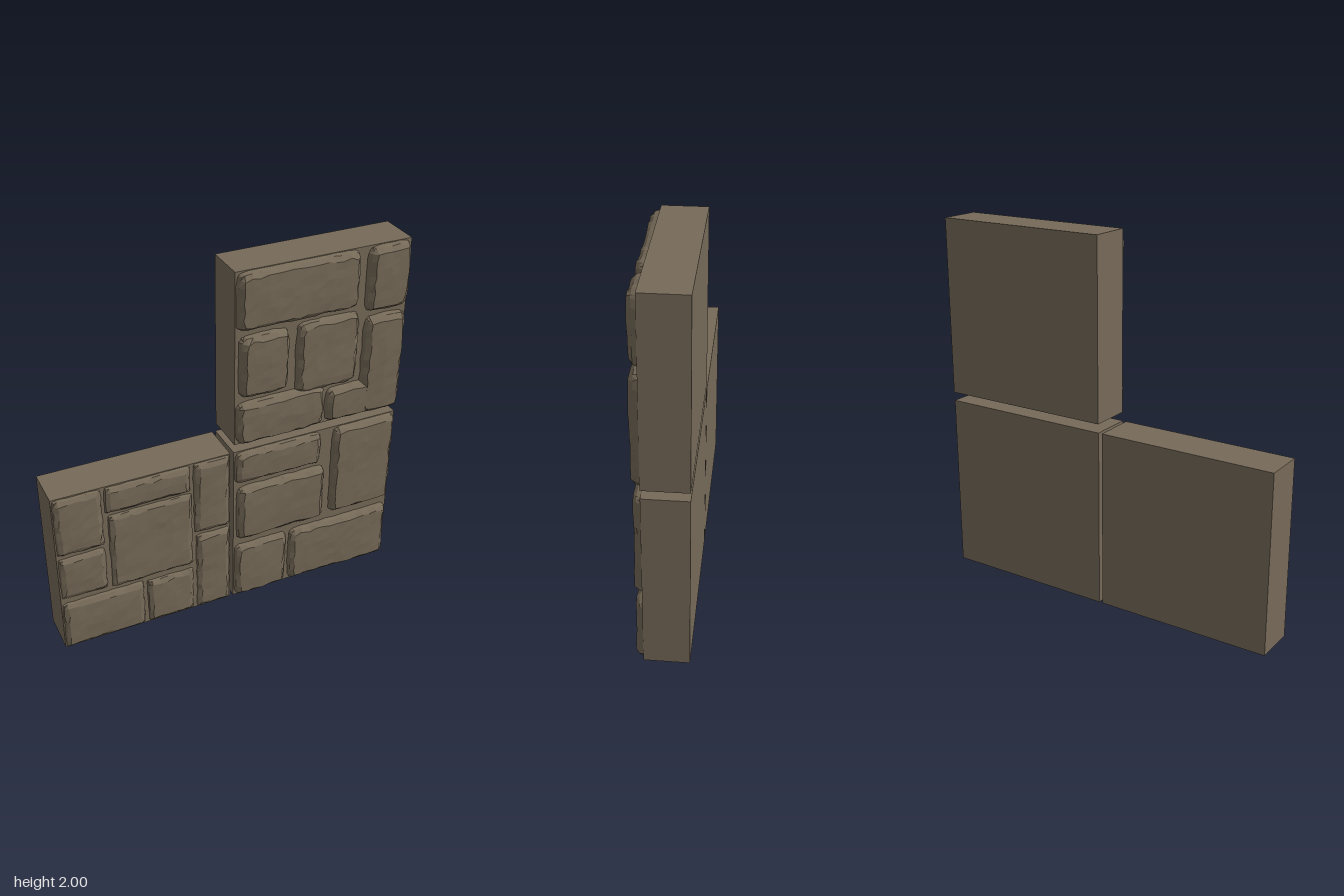
import * as THREE from 'three';

const BACK = -0.14, MORTAR = 0.09, SUNK = 0.08;

// Each panel: outer rectangle, corner rounding, stone height, and stones as [x0, x1, y0, y1]
const PANELS = [
  { name: 'lowerRightPanel', rect: [-0.985, -0.013, 0, 0.98], round: 0.018, top: 0.112, stones: [
    [-0.985, -0.72, 0.62, 0.98], [-0.715, -0.24, 0.81, 0.98], [-0.23, -0.013, 0.525, 0.98],
    [-0.705, -0.23, 0.32, 0.805], [-0.985, -0.72, 0.33, 0.61], [-0.985, -0.52, 0, 0.31],
    [-0.51, -0.23, 0, 0.3], [-0.22, -0.013, 0, 0.515]] },
  { name: 'lowerLeftPanel', rect: [0.007, 0.982, 0, 0.98], round: 0.045, top: 0.124, stones: [
    [0.007, 0.525, 0.775, 0.98], [0.02, 0.555, 0.4, 0.755], [0.59, 0.982, 0.41, 0.98],
    [0.007, 0.335, 0, 0.365], [0.345, 0.982, 0, 0.365]] },
  { name: 'upperLeftPanel', rect: [0.01, 0.985, 1.027, 2], round: 0.055, top: 0.128, stones: [
    [0.01, 0.695, 1.68, 2], [0.73, 0.985, 1.635, 2], [0.025, 0.31, 1.3, 1.66],
    [0.345, 0.71, 1.25, 1.665], [0.735, 0.985, 1.027, 1.615], [0.01, 0.525, 1.027, 1.285],
    [0.53, 0.985, 1.027, 1.24]] },
];

// Repeatable jitter and a gentle rolling surface
const hash = (a, b) => {
  const s = Math.sin(a * 127.1 + b * 311.7) * 43758.5453;
  return (s - Math.floor(s)) * 2 - 1;
};
const roll = (x, y) => Math.sin(x * 9 + y * 4) * 0.5 + Math.sin(y * 13 - x * 6 + 1) * 0.5;

// Grid lines across a stone: tight at both bevels, even between
function gridLines(a, b) {
  const lines = [a, a + 0.012, a + 0.032], inner = b - a - 0.064;
  const n = Math.max(2, Math.round(inner / 0.045));
  for (let i = 1; i < n; i++) lines.push(a + 0.032 + inner * i / n);
  return [...lines, b - 0.032, b - 0.012, b];
}

// A hewn stone face with bevelled edges and rounded corners
function stoneGeometry([x0, x1, y0, y1], panel, seed) {
  const xs = gridLines(x0, x1), ys = gridLines(y0, y1);
  const geo = new THREE.PlaneGeometry(1, 1, xs.length - 1, ys.length - 1);
  const pos = geo.attributes.position, r = panel.round;
  const [px0, px1, py0, py1] = panel.rect;
  const top = panel.top + hash(seed, 3) * 0.004;
  const clamp = THREE.MathUtils.clamp;
  for (let i = 0; i < pos.count; i++) {
    const col = i % xs.length, row = ys.length - 1 - Math.floor(i / xs.length);
    let x = xs[col], y = ys[row];
    const edge = Math.min(x - x0, x1 - x, y - y0, y1 - y);
    // Pull square corners onto an arc
    const cx = clamp(x, x0 + r, x1 - r), cy = clamp(y, y0 + r, y1 - r);
    const dx = x - cx, dy = y - cy, len = Math.hypot(dx, dy);
    if (len > 0) {
      const k = Math.max(Math.abs(dx), Math.abs(dy)) / len;
      x = cx + dx * k;
      y = cy + dy * k;
    }
    // Bevel, slight dome and chipped surface
    const rise = edge < 0.001 ? 0 : edge < 0.02 ? 0.62 : 1;
    const dome = Math.min(edge / 0.12, 1) * 0.005;
    const rough = roll(x, y) * 0.004 + hash(i, seed) * 0.0016;
    const z = SUNK + rise * (top + dome + rough - SUNK);
    // Uneven outline, kept flush with the panel sides
    const wob = edge < 0.02 ? 0.004 : 0.007;
    if (x > px0 + 0.001 && x < px1 - 0.001) x += hash(i + 5, seed) * wob;
    if (y > py0 + 0.001 && y < py1 - 0.001) y += hash(i + 9, seed) * wob;
    pos.setXYZ(i, clamp(x, px0, px1), clamp(y, py0, py1), z);
  }
  geo.computeVertexNormals();
  return geo;
}

export function createModel() {
  const model = new THREE.Group();
  model.name = 'stoneWallPanels';
  const stone = new THREE.MeshStandardMaterial({ color: 0x766a58, flatShading: true });
  stone.name = 'brown stone';

  PANELS.forEach((panel, p) => {
    const group = new THREE.Group();
    group.name = panel.name;
    const [x0, x1, y0, y1] = panel.rect;

    // Plain slab whose front shows as mortar joints
    const slab = new THREE.Mesh(new THREE.BoxGeometry(x1 - x0, y1 - y0, MORTAR - BACK), stone);
    slab.position.set((x0 + x1) / 2, (y0 + y1) / 2, (MORTAR + BACK) / 2);
    slab.name = 'slab';
    group.add(slab);

    // Raised stones
    panel.stones.forEach((rect, s) => {
      const mesh = new THREE.Mesh(stoneGeometry(rect, panel, p * 10 + s + 1), stone);
      mesh.name = `stone${s + 1}`;
      group.add(mesh);
    });
    model.add(group);
  });
  return model;
}
